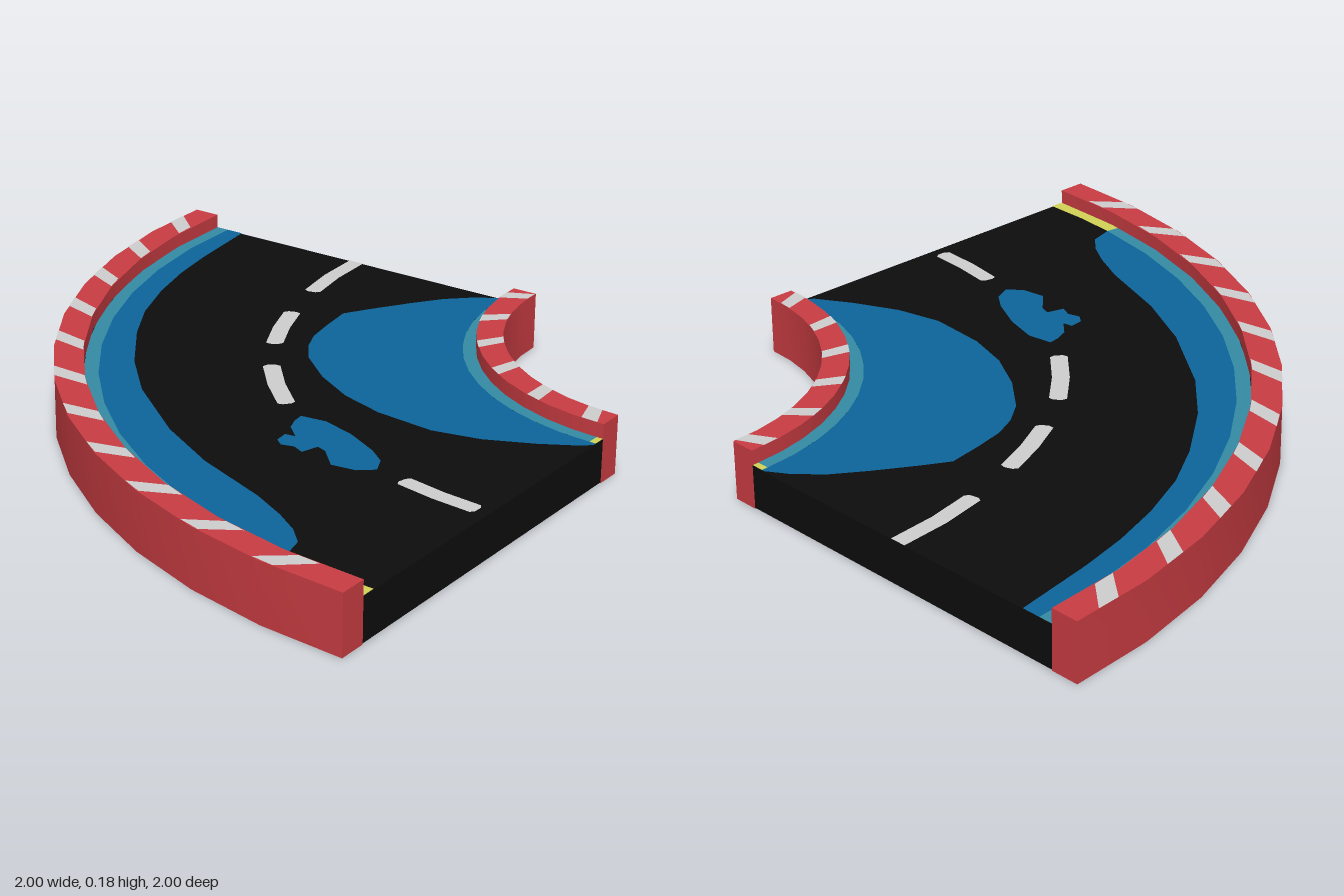
import * as THREE from 'three';
import { toCreasedNormals } from 'three/addons/utils/BufferGeometryUtils.js';

const material = (name, color) => {
  const m = new THREE.MeshStandardMaterial({ color });
  m.name = name;
  return m;
};

// Bend centre is (1, 1); angle runs from 0 (the +x end) to 90 (the front end).
const polar = ([deg, r]) => {
  const a = THREE.MathUtils.degToRad(deg);
  return [1 - r * Math.sin(a), 1 - r * Math.cos(a)];
};

// Points along an arc of constant radius.
const arc = (r, from, to, steps = 12) =>
  Array.from({ length: steps + 1 }, (_, i) => [from + ((to - from) * i) / steps, r]);

const ring = (r0, r1, from = 0, to = 90, steps = 12) =>
  [...arc(r0, from, to, steps), ...arc(r1, to, from, steps)];

// Shape in (x, -z) for upward faces, (x, z) for downward faces.
const toShape = (points, sign) =>
  new THREE.Shape(points.map((p) => {
    const [x, z] = polar(p);
    return new THREE.Vector2(x, sign * z);
  }));

export function createModel() {
  const group = new THREE.Group();
  const red = material('kerb red', 0xc83c42);
  const black = material('asphalt black', 0x0d0d0d);
  const blue = material('water blue', 0x0d659b);
  const teal = material('edge teal', 0x348aa4);
  const yellow = material('edge yellow', 0xd2d255);
  const white = material('marking grey white', 0xcdcdcd);

  const IN = 0.75, OUT = 1.912; // road edges
  const add = (name, geometry, mat) => {
    const mesh = new THREE.Mesh(geometry, mat);
    mesh.name = name;
    group.add(mesh);
  };

  // Solid ring sector standing between two heights
  const solid = (name, r0, r1, y0, y1, mat) => {
    const g = new THREE.ExtrudeGeometry(toShape(ring(r0, r1), -1), {
      depth: y1 - y0, bevelEnabled: false,
    });
    g.rotateX(-Math.PI / 2).translate(0, y0, 0);
    add(name, toCreasedNormals(g, 0.6), mat);
  };

  // Flat painted faces
  const paintUp = (name, points, y, mat) => {
    const g = new THREE.ShapeGeometry(toShape(points, -1));
    add(name, g.rotateX(-Math.PI / 2).translate(0, y, 0), mat);
  };
  const paintDown = (name, points, y, mat) => {
    const g = new THREE.ShapeGeometry(toShape(points, 1));
    add(name, g.rotateX(Math.PI / 2).translate(0, y, 0), mat);
  };
  // Road paint on the top, repeated underneath with inside and outside swapped
  const paintRoad = (name, points, mat) => {
    paintUp(name, points, 0.135, mat);
    paintDown(name + 'Under', points.map(([a, r]) => [a, IN + OUT - r]), 0.001, mat);
  };

  // Road slab and the two kerb walls
  solid('road', IN, OUT, 0.003, 0.133, black);
  solid('outerWall', OUT, 2, 0, 0.179, red);
  solid('innerWall', 0.67, IN, 0, 0.179, red);

  // Edge lines
  paintRoad('outerEdgeLine', ring(1.868, OUT, 0, 81.4), teal);
  paintRoad('outerEdgeYellow', ring(1.868, OUT, 81.4, 90, 2), yellow);
  paintRoad('innerEdgeLine', ring(IN, 0.79, 1.5, 88.5), teal);
  paintRoad('innerEdgeYellowA', ring(IN, 0.79, 0, 1.5, 1), yellow);
  paintRoad('innerEdgeYellowB', ring(IN, 0.79, 88.5, 90, 1), yellow);

  // Water along the outer edge
  paintRoad('outerWater', [
    ...arc(1.868, 81.4, 0),
    [0, 1.81], [8.4, 1.79], [13.5, 1.788], [18.9, 1.787], [24.8, 1.785], [30.5, 1.775],
    [38, 1.763], [44.9, 1.75], [54.7, 1.728], [62.5, 1.713], [71.3, 1.70],
    [75.5, 1.722], [78.4, 1.753], [80.4, 1.795], [81.1, 1.847],
  ], blue);

  // Large pool on the inside of the bend
  paintRoad('innerWater', [
    ...arc(0.79, 90, 0),
    [0, 0.80], [2.8, 0.867], [6.8, 0.943], [11.5, 1.02], [16.5, 1.116], [19.7, 1.187],
    [25, 1.214], [29.3, 1.24], [33, 1.25], [37.2, 1.248], [44.1, 1.221], [51.2, 1.186],
    [58.2, 1.139], [67.3, 1.067], [74.3, 0.989], [81.7, 0.897], [88.5, 0.824], [90, 0.80],
  ], blue);

  // Small puddle on the centre line
  const puddle = [
    [-0.118, 0.24], [-0.107, 0.32], [-0.139, 0.428], [-0.193, 0.535], [-0.235, 0.59],
    [-0.289, 0.615], [-0.326, 0.572], [-0.337, 0.497], [-0.273, 0.433], [-0.262, 0.401],
    [-0.316, 0.385], [-0.299, 0.348], [-0.31, 0.31], [-0.289, 0.283], [-0.246, 0.278],
    [-0.241, 0.31], [-0.198, 0.262], [-0.155, 0.245],
  ].map(([x, z]) => [
    THREE.MathUtils.radToDeg(Math.atan2(1 - x, 1 - z)), Math.hypot(1 - x, 1 - z),
  ]);
  paintRoad('puddle', puddle, blue);

  // Centre dashes: start angle, end angle, radius at each, with clipped corners
  [[0, 13.2, 1.345, 1.34], [21, 32.6, 1.34, 1.352],
    [39.5, 51.9, 1.36, 1.363], [77.3, 88.5, 1.337, 1.337]].forEach(([a, b, ra, rb], i) => {
    const w = 0.026, mid = (a + b) / 2, rm = (ra + rb) / 2, c = i ? 0.4 : 0;
    paintRoad('centreDash' + (i + 1), [
      [a + c, ra - w], [mid, rm - w], [b - 0.4, rb - w], [b, rb - w / 2],
      [b, rb + w / 2], [b - 0.4, rb + w], [mid, rm + w], [a + c, ra + w],
      [a, ra + w / 2], [a, ra - w / 2],
    ], white);
  });

  // Slanted stripes on the kerb tops
  const stripes = (name, count, first, step, r0, r1, half, slant) => {
    for (let i = 0; i < count; i++) {
      const a = first + i * step;
      paintUp(name + (i + 1), [
        [a - slant - half, r0], [a - slant + half, r0],
        [a + slant + half, r1], [a + slant - half, r1],
      ], 0.18, white);
    }
  };
  stripes('outerStripe', 11, 4.5, 7.93, OUT, 1.997, 1.05, -1.2);
  stripes('innerStripe', 6, 4, 16.2, 0.67, IN, 2, 1.4);

  return group;
}
